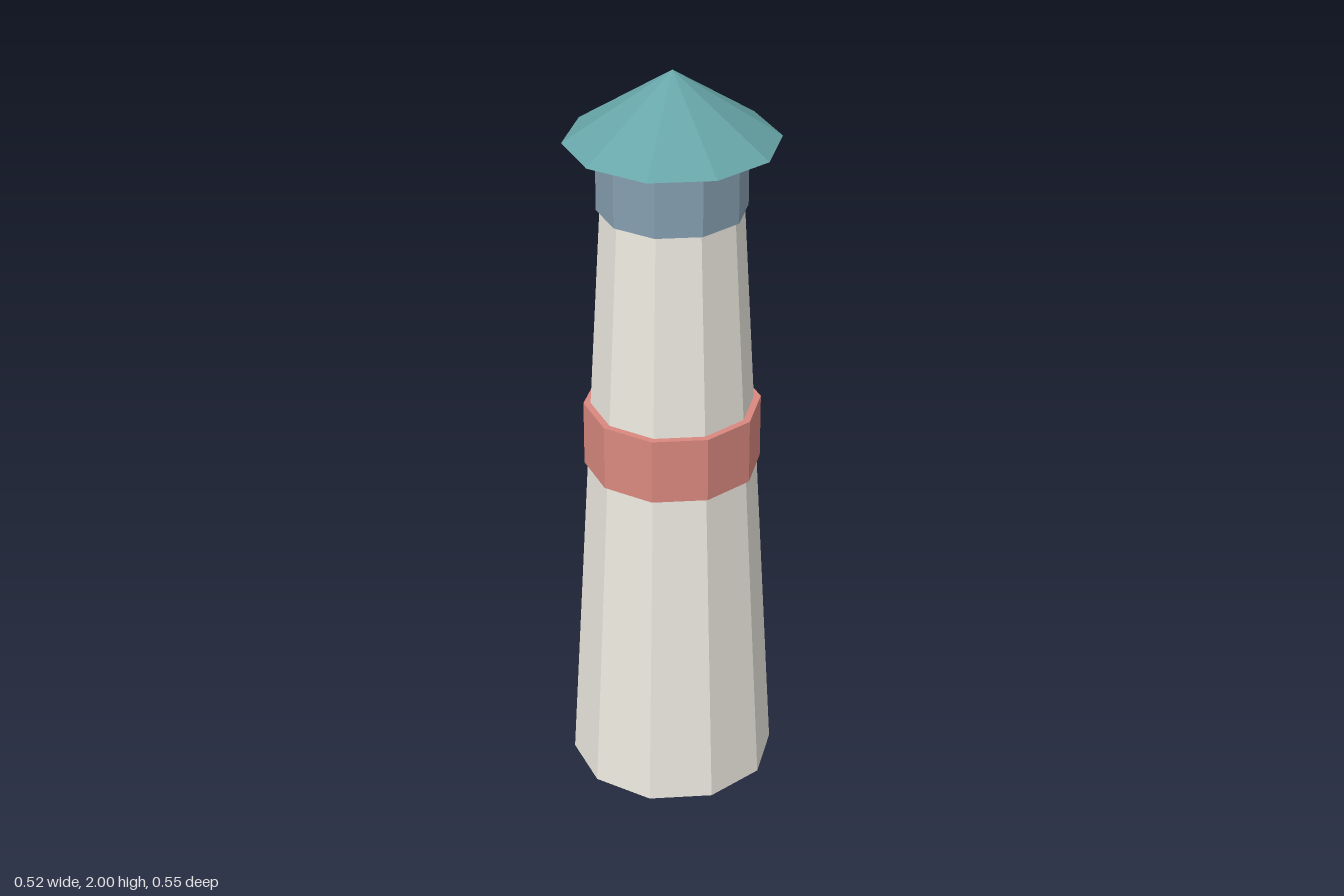
import * as THREE from 'three';

const SIDES = 10;

export function createModel() {
  const model = new THREE.Group();
  model.name = 'lighthouse';

  // Adds a ten-sided tapered section standing on the given height.
  function addSection(name, color, rTop, rBottom, y, height) {
    const geometry = rTop === 0
      ? new THREE.ConeGeometry(rBottom, height, SIDES)
      : new THREE.CylinderGeometry(rTop, rBottom, height, SIDES);
    const material = new THREE.MeshStandardMaterial({ color, flatShading: true });
    const mesh = new THREE.Mesh(geometry, material);
    mesh.name = name;
    mesh.position.y = y + height / 2;
    model.add(mesh);
  }

  addSection('tower', 0xece9e0, 0.182, 0.273, 0, 1.636);
  addSection('band', 0xd9887f, 0.231, 0.231, 0.913, 0.177);
  addSection('lanternRoom', 0x869fb0, 0.191, 0.191, 1.636, 0.182);
  addSection('roof', 0x68a6a9, 0, 0.273, 1.818, 0.182);

  return model;
}
